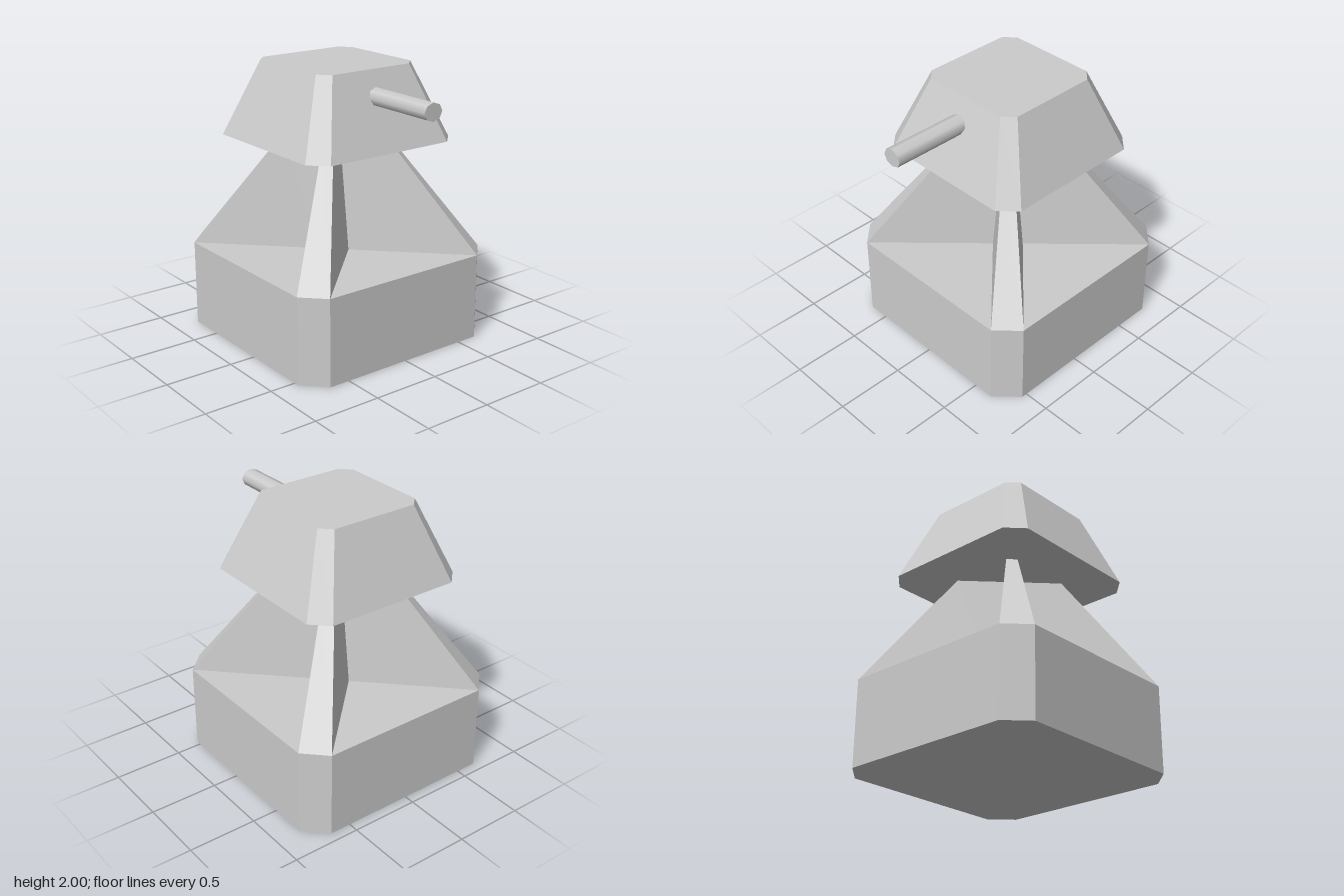
import * as THREE from 'three';

const CENTER_X = -0.115;

// Square with cut corners: w = half width, c = where the cut begins
function cutSquare(w, c) {
  return [[w, -c], [w, c], [c, w], [-c, w], [-w, c], [-w, -c], [-c, -w], [c, -w]];
}

// Diagonal cross: the cut square with a notch running in from every side
function diagonalCross(w, c) {
  const n = w - c;
  return [
    [n, 0], [w, c], [c, w], [0, n], [-c, w], [-w, c],
    [-n, 0], [-w, -c], [-c, -w], [0, -n], [c, -w], [w, -c],
  ];
}

// Upright solid from an outline, its top scaled by taper
function frustum(outline, y0, y1, taper) {
  const shape = new THREE.Shape(outline.map(([x, y]) => new THREE.Vector2(x, y)));
  const height = y1 - y0;
  const geo = new THREE.ExtrudeGeometry(shape, { depth: height, bevelEnabled: false });
  geo.rotateX(-Math.PI / 2);
  const pos = geo.attributes.position;
  for (let i = 0; i < pos.count; i++) {
    const s = pos.getY(i) > height / 2 ? taper : 1;
    pos.setXYZ(i, pos.getX(i) * s, pos.getY(i), pos.getZ(i) * s);
  }
  geo.computeVertexNormals();
  geo.translate(CENTER_X, y0, 0);
  return geo;
}

export function createModel() {
  const group = new THREE.Group();
  const flat = new THREE.MeshStandardMaterial({ color: 0xcccccc, flatShading: true });
  const smooth = new THREE.MeshStandardMaterial({ color: 0xcccccc });

  const add = (name, geo, mat) => {
    const mesh = new THREE.Mesh(geo, mat);
    mesh.name = name;
    group.add(mesh);
  };

  // Block base, four corner fins, and the overhanging head
  add('base', frustum(cutSquare(0.81, 0.655), 0, 0.635, 1), flat);
  add('supportFins', frustum(diagonalCross(0.81, 0.655), 0.635, 1.46, 0.364), flat);
  add('turretHead', frustum(cutSquare(0.625, 0.505), 1.46, 2, 0.652), flat);

  // Eight-sided barrel, slightly flattened, out of the left side
  const x0 = 0.25, x1 = 0.92;
  const barrel = new THREE.CylinderGeometry(0.075, 0.075, x1 - x0, 8);
  barrel.rotateZ(-Math.PI / 2);
  barrel.scale(1, 0.85, 1);
  barrel.translate((x0 + x1) / 2, 1.822, 0);
  add('barrel', barrel, smooth);

  return group;
}
